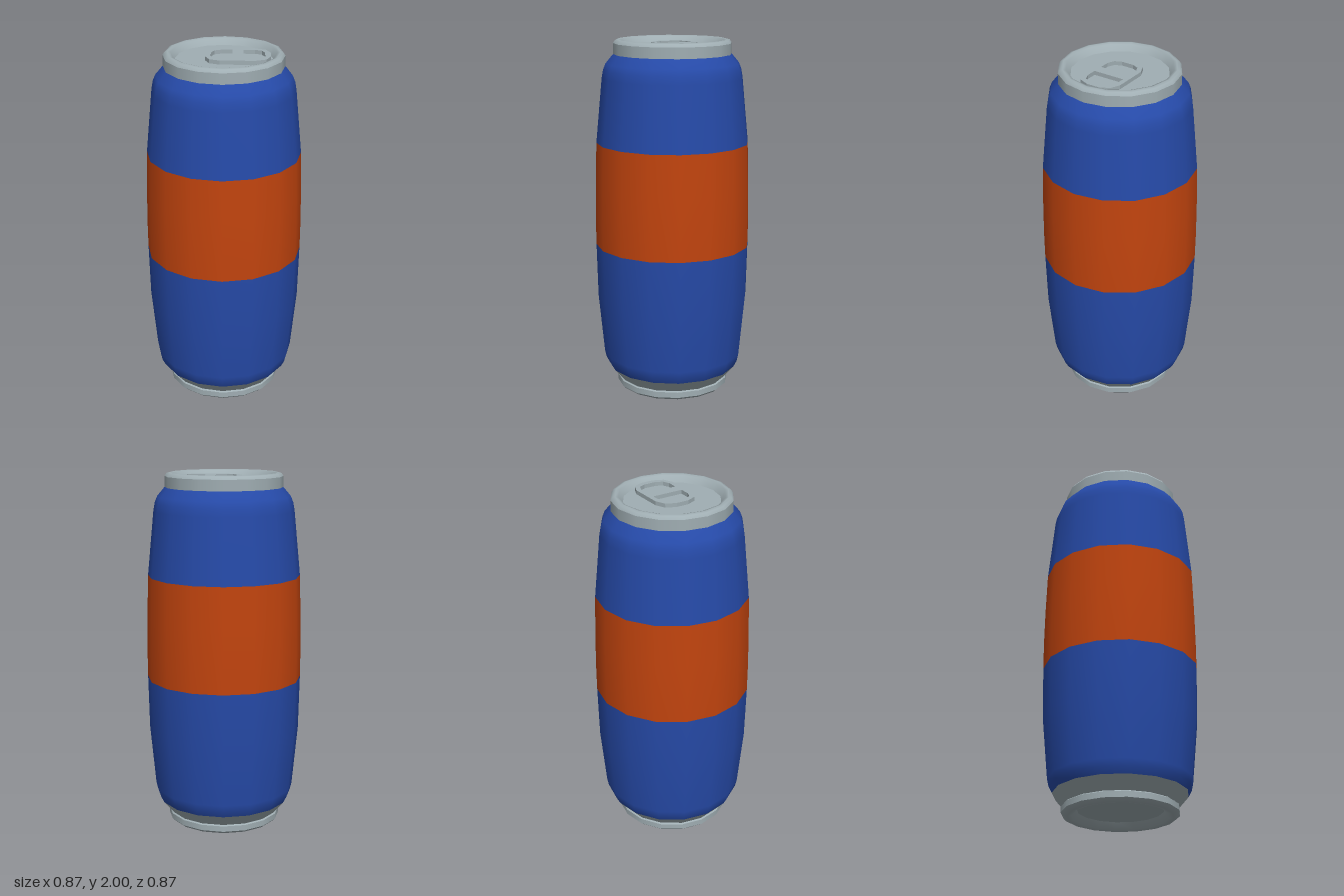
import * as THREE from 'three';

const SIDES = 16;

export function createModel() {
  const can = new THREE.Group();
  can.name = 'drinkCan';

  const paint = (name, color) => {
    const m = new THREE.MeshStandardMaterial({ color });
    m.name = name;
    return m;
  };
  const blue = paint('blue', 0x264aa8);
  const orange = paint('orange', 0xc2440e);
  const metal = paint('metal', 0xa0aeb3);

  // Turned part from [radius, height] pairs, smooth within the part and creased between parts
  const turned = (name, material, profile) => {
    const points = profile.map(([r, y]) => new THREE.Vector2(r, y));
    const mesh = new THREE.Mesh(new THREE.LatheGeometry(points, SIDES), material);
    mesh.name = name;
    can.add(mesh);
  };

  // Base: recessed underside, foot ring and taper
  turned('undersideDisc', metal, [[0, 0.04], [0.235, 0.04]]);
  turned('footRing', metal, [[0.235, 0.04], [0.262, 0.005], [0.285, 0], [0.305, 0.004], [0.32, 0.018]]);
  turned('footBand', metal, [[0.32, 0.018], [0.32, 0.05]]);
  turned('footStep', metal, [[0.32, 0.05], [0.312, 0.056]]);
  turned('lowerTaper', metal, [[0.312, 0.056], [0.37, 0.125]]);

  // Painted body
  turned('lowerBody', blue, [[0.37, 0.125], [0.388, 0.16], [0.397, 0.2], [0.429, 0.54], [0.436, 0.845]]);
  turned('labelBand', orange, [[0.436, 0.845], [0.437, 1.0], [0.434, 1.2], [0.427, 1.43]]);
  turned('upperBody', blue, [[0.427, 1.43], [0.392, 1.79], [0.384, 1.835], [0.37, 1.87], [0.328, 1.92]]);

  // Rolled rim and lid
  turned('rimWall', metal, [[0.328, 1.92], [0.328, 1.98]]);
  turned('rimRoll', metal, [[0.328, 1.98], [0.317, 1.996], [0.302, 2], [0.285, 1.995], [0.262, 1.962]]);
  turned('lid', metal, [[0.262, 1.962], [0, 1.962]]);

  // Outline with each corner cut by one extra point; square corners where cut is zero
  const outline = (Type, x0, x1, h, cutLeft, cutRight) => {
    const path = new Type();
    const corner = (x, y, dx, dy, cut, flip) => {
      if (!cut) return [[x, y]];
      const c = [[x + dx * cut, y], [x + dx * cut * 0.3, y + dy * cut * 0.3], [x, y + dy * cut]];
      return flip ? c.reverse() : c;
    };
    const pts = [
      ...corner(x0, -h, 1, 1, cutLeft, true),
      ...corner(x1, -h, -1, 1, cutRight, false),
      ...corner(x1, h, -1, -1, cutRight, true),
      ...corner(x0, h, 1, -1, cutLeft, false),
    ];
    path.setFromPoints(pts.map(([x, y]) => new THREE.Vector2(x, y)));
    path.closePath();
    return path;
  };

  // Pull tab with two openings
  const tabShape = outline(THREE.Shape, -0.1, 0.25, 0.116, 0.08, 0.08);
  tabShape.holes.push(
    outline(THREE.Path, -0.07, 0.045, 0.089, 0.055, 0),
    outline(THREE.Path, 0.104, 0.22, 0.089, 0, 0.055),
  );
  const tabGeometry = new THREE.ExtrudeGeometry(tabShape, { depth: 0.022, bevelEnabled: false });
  tabGeometry.rotateX(-Math.PI / 2);
  const tab = new THREE.Mesh(tabGeometry, metal);
  tab.name = 'pullTab';
  tab.position.y = 1.962;
  can.add(tab);

  return can;
}
